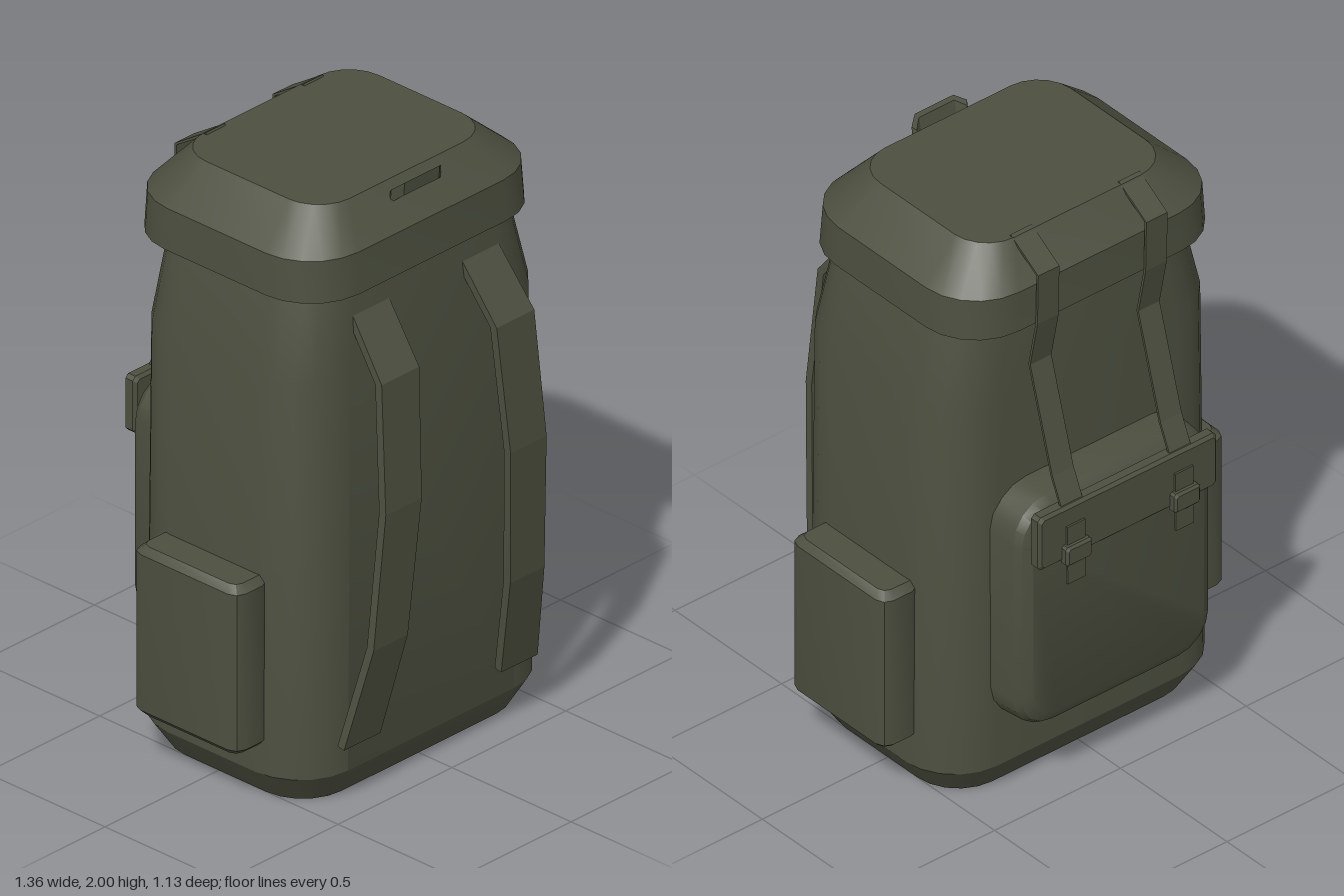
import * as THREE from 'three';
import { toCreasedNormals } from 'three/addons/utils/BufferGeometryUtils.js';

const canvas = new THREE.MeshStandardMaterial({ color: 0x4c4f3f });
canvas.name = 'olive canvas';

// Closed solid through rings of equal point count, capped at both ends
function loft(name, rings, crease = 0.5) {
  const n = rings[0].length, pos = [], tris = [];
  rings.forEach(r => r.forEach(p => pos.push(...p)));
  for (let k = 0; k < rings.length - 1; k++) {
    for (let i = 0; i < n; i++) {
      const a = k * n + i, b = k * n + (i + 1) % n;
      tris.push([a, b, b + n], [a, b + n, a + n]);
    }
  }
  const last = (rings.length - 1) * n;
  for (let i = 1; i < n - 1; i++) tris.push([0, i + 1, i], [last, last + i, last + i + 1]);
  // Turn the faces outward whichever way the rings run
  const v = i => new THREE.Vector3().fromArray(pos, i * 3);
  const volume = tris.reduce((s, [a, b, c]) => s + v(a).dot(v(b).cross(v(c))), 0);
  if (volume < 0) tris.forEach(t => t.reverse());
  const geo = new THREE.BufferGeometry();
  geo.setAttribute('position', new THREE.Float32BufferAttribute(pos, 3));
  geo.setIndex(tris.flat());
  const mesh = new THREE.Mesh(toCreasedNormals(geo, crease), canvas);
  mesh.name = name;
  return mesh;
}

// Rounded rectangle between two corners, as [u, v] points
function roundRect(u0, u1, v0, v1, r, seg) {
  const pts = [];
  [[u1 - r, v1 - r], [u0 + r, v1 - r], [u0 + r, v0 + r], [u1 - r, v0 + r]].forEach(([u, v], q) => {
    for (let i = 0; i <= seg; i++) {
      const a = (q + i / seg) * Math.PI / 2;
      pts.push([u + r * Math.cos(a), v + r * Math.sin(a)]);
    }
  });
  return pts;
}

// Horizontal sections [y, x0, x1, z0, z1, radius]
const levels = (list, seg) => list.map(([y, x0, x1, z0, z1, r]) =>
  roundRect(x0, x1, z0, z1, r, seg).map(([x, z]) => [x, y, z]));

// Upright sections facing the back [z, halfWidth, y0, y1, radius]
const slices = (list, seg, cx = 0) => list.map(([z, w, y0, y1, r]) =>
  roundRect(cx - w, cx + w, y0, y1, r, seg).map(([x, y]) => [x, y, z]));

// Webbing along a side profile of [y, z, x0, x1], thickened across its path
function webbing(name, path, thick, slant = 0) {
  const rings = path.map(([y, z, x0, x1], i) => {
    const a = path[Math.max(i - 1, 0)], b = path[Math.min(i + 1, path.length - 1)];
    const dy = b[0] - a[0], dz = b[1] - a[1], l = Math.hypot(dy, dz);
    const ny = -dz / l * thick / 2, nz = dy / l * thick / 2;
    const s = Math.sign(x0 + x1) * slant;
    return [[x0, y + ny - s, z + nz], [x1, y + ny + s, z + nz],
      [x1, y - ny + s, z - nz], [x0, y - ny - s, z - nz]];
  });
  return loft(name, rings, 0.1);
}

export function createModel() {
  const pack = new THREE.Group();
  pack.name = 'backpack';

  // Main bag and lid
  pack.add(loft('body', levels([
    [0, -0.5, 0.5, -0.3, 0.36, 0.16],
    [0.1, -0.565, 0.565, -0.355, 0.413, 0.2],
    [1.45, -0.552, 0.552, -0.35, 0.41, 0.2],
    [1.75, -0.478, 0.478, -0.33, 0.38, 0.18],
  ], 5)));
  pack.add(loft('lid', levels([
    [1.73, -0.525, 0.525, -0.405, 0.42, 0.2],
    [1.87, -0.518, 0.518, -0.4, 0.413, 0.2],
    [1.99, -0.38, 0.38, -0.3, 0.31, 0.13],
  ], 5)));

  // Carry handle on the front slope of the lid
  const grip = [[-0.1, 1.945, 0.335], [-0.07, 1.965, 0.36], [0.07, 1.965, 0.36], [0.1, 1.945, 0.335]];
  pack.add(loft('carryHandle', grip.map(([x, y, z]) => [
    [x, y - 0.02, z - 0.008], [x, y + 0.025, z + 0.003],
    [x * 1.1, y + 0.035, z + 0.015], [x * 1.1, y - 0.01, z + 0.012],
  ]), 0.1));

  // Back pocket and its closing flap
  pack.add(loft('backPocket', slices([
    [-0.32, 0.39, 0.26, 1.13, 0.14],
    [-0.45, 0.383, 0.275, 1.115, 0.13],
    [-0.475, 0.37, 0.29, 1.095, 0.12],
    [-0.492, 0.34, 0.325, 1.06, 0.1],
  ], 4)));
  pack.add(loft('pocketFlap', slices([
    [-0.49, 0.345, 0.925, 1.1, 0.01],
    [-0.5, 0.355, 0.915, 1.11, 0.012],
    [-0.53, 0.355, 0.915, 1.11, 0.012],
    [-0.54, 0.345, 0.925, 1.1, 0.01],
  ], 1), 0.3));

  for (const [side, s] of [['left', 1], ['right', -1]]) {
    // Side pocket with chamfered edges
    const x = (a, b) => (s > 0 ? [a, b] : [-b, -a]);
    pack.add(loft(side + 'SidePocket', levels([
      [0.197, ...x(0.53, 0.66), -0.17, 0.225, 0.03],
      [0.22, ...x(0.53, 0.682), -0.195, 0.25, 0.04],
      [0.757, ...x(0.53, 0.682), -0.195, 0.25, 0.04],
      [0.78, ...x(0.53, 0.66), -0.17, 0.225, 0.03],
    ], 2)));

    // Shoulder strap bowing away from the front
    pack.add(webbing(side + 'ShoulderStrap', [
      [1.64, 0.375, 0.16, 0.32], [1.455, 0.512, 0.17, 0.335], [1.03, 0.546, 0.195, 0.353],
      [0.56, 0.516, 0.225, 0.375], [0.21, 0.44, 0.265, 0.425],
    ].map(([y, z, a, b]) => [y, z, s * a, s * b]), 0.028, s * 0.0));

    // Lid strap running down to the pocket flap
    pack.add(webbing(side + 'LidStrap', [
      [1.992, -0.285], [1.91, -0.414], [1.73, -0.41], [1.56, -0.376],
      [1.2, -0.48], [1.1, -0.525],
    ].map(([y, z]) => [y, z, s * 0.215 - 0.042, s * 0.215 + 0.042]), 0.009));

    // Buckle and loose strap end
    pack.add(webbing(side + 'StrapEnd', [[1.04, -0.543], [0.83, -0.546]]
      .map(([y, z]) => [y, z, s * 0.215 - 0.036, s * 0.215 + 0.036]), 0.008));
    pack.add(loft(side + 'Buckle', slices([
      [-0.538, 0.052, 0.905, 0.975, 0.008],
      [-0.558, 0.052, 0.905, 0.975, 0.008],
      [-0.566, 0.044, 0.913, 0.967, 0.006],
    ], 1, s * 0.215), 0.3));
  }
  return pack;
}
